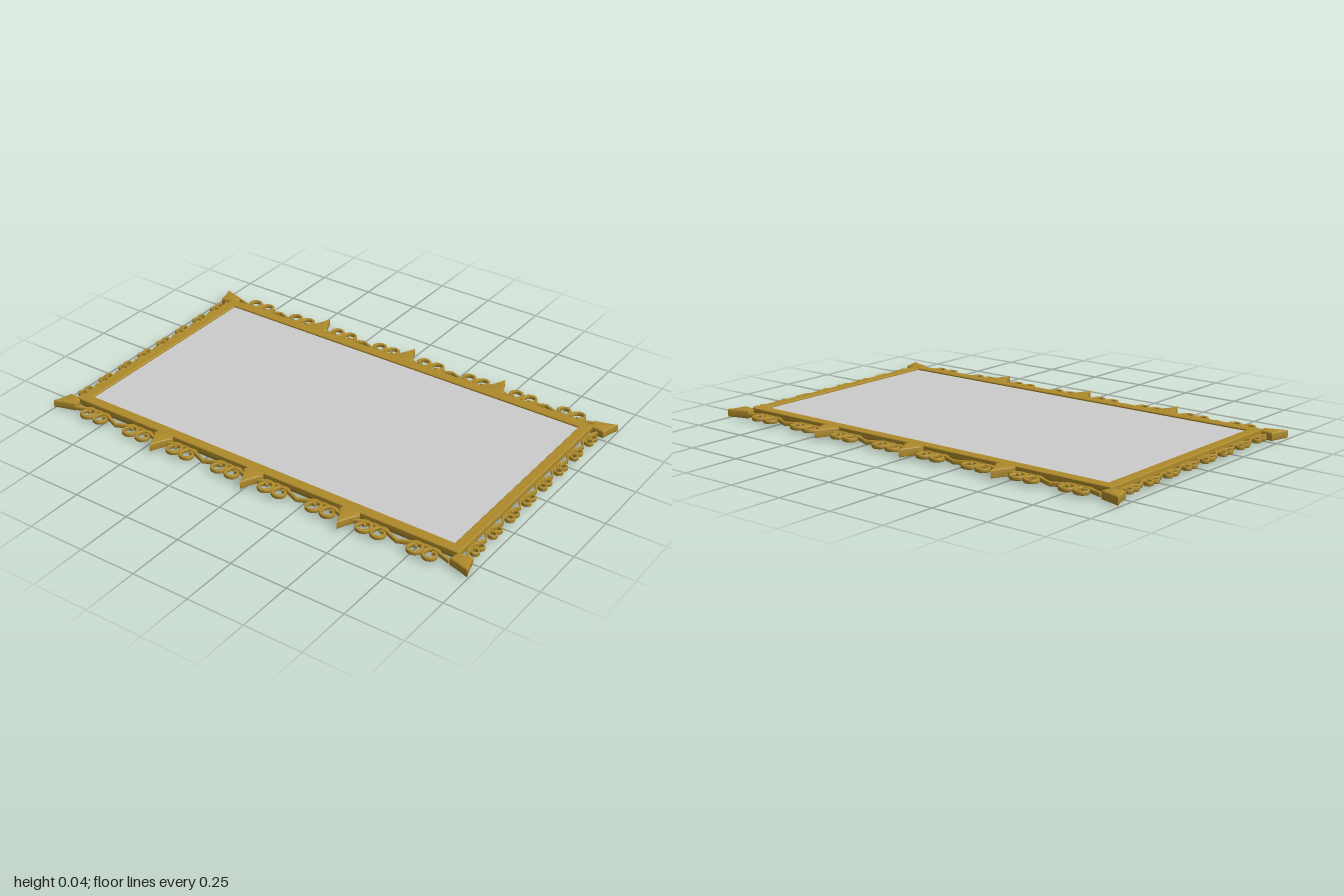
import * as THREE from 'three';
import { toCreasedNormals } from 'three/addons/utils/BufferGeometryUtils.js';

const gold = new THREE.MeshStandardMaterial({ color: 0xae8a2b });
const grey = new THREE.MeshStandardMaterial({ color: 0xcccccc });
const V2 = (x, y) => new THREE.Vector2(x, y);

// Mesh from a flat plan shape (shape y becomes +z), filling heights y0 to y1
function slab(name, shape, y0, y1, bevel) {
  let g = new THREE.ExtrudeGeometry(shape, {
    depth: y1 - y0 - 2 * bevel, curveSegments: 8, bevelEnabled: true,
    bevelThickness: bevel, bevelSize: bevel, bevelOffset: -bevel, bevelSegments: 3,
  });
  g.rotateX(Math.PI / 2).translate(0, y1 - bevel, 0);
  g = toCreasedNormals(g, 0.7);
  const mesh = new THREE.Mesh(g, gold);
  mesh.name = name;
  return mesh;
}

// Plan outline of a strip following points, tapering from w0 to w1 (half widths)
function strip(points, w0, w1) {
  const left = [], right = [], n = points.length - 1;
  points.forEach((p, i) => {
    const d = points[Math.min(i + 1, n)].clone().sub(points[Math.max(i - 1, 0)]).normalize();
    const w = w0 + (w1 - w0) * i / n;
    left.push(V2(p.x - d.y * w, p.y + d.x * w));
    right.unshift(V2(p.x + d.y * w, p.y - d.x * w));
  });
  return new THREE.Shape([...left, ...right]);
}

// One bay of trim: a chevron ribbon and two pairs of back-to-back scrolls
function trimBay(sx, sz, w) {
  const bay = new THREE.Group();
  bay.name = 'trimBay';
  const wave = [[-0.225, 0.034], [-0.16, 0.012], [-0.11, 0.006], [-0.06, 0.014], [0, 0.04],
    [0.06, 0.014], [0.11, 0.006], [0.16, 0.012], [0.225, 0.034]]
    .map(([x, z]) => V2(x * sx, z * sz));
  bay.add(slab('chevronRibbon', strip(wave, w, w), 0.013, 0.031, w * 0.6));
  for (const centre of [-0.113, 0.113]) for (const side of [-1, 1]) {
    const points = [];
    for (let i = 0; i <= 24; i++) {
      const t = i / 24, a = -2.3 + t * 7.4, r = 0.034 - 0.022 * t * t;
      const x = centre + side * (0.037 - r * Math.cos(a));
      points.push(V2(x * sx, (0.04 + r * Math.sin(a)) * sz));
    }
    bay.add(slab('scroll', strip(points, w * 1.1, w * 0.8), 0.014, 0.031, w * 0.6));
  }
  return bay;
}

// A row of bays along one edge, facing local +z
function trimRow(name, angle, distance, pitch, sx, sz, w) {
  const row = new THREE.Group();
  row.name = name;
  for (let i = 0; i < 4; i++) {
    const bay = trimBay(sx, sz, w);
    bay.position.set((i - 1.5) * pitch, 0, distance);
    row.add(bay);
  }
  row.rotation.y = angle;
  return row;
}

// Mitred rectangular moulding swept from a profile of [x half, z half, y] rings
function moulding() {
  const profile = [[0.879, 0.476, 0], [0.879, 0.476, 0.041], [0.882, 0.479, 0.044],
    [0.919, 0.519, 0.044], [0.922, 0.522, 0.041], [0.922, 0.522, 0.024],
    [0.916, 0.516, 0.012], [0.907, 0.507, 0]];
  const corners = [[1, 1], [1, -1], [-1, -1], [-1, 1]];
  const pos = [];
  profile.forEach((a, i) => {
    const b = profile[(i + 1) % profile.length];
    corners.forEach((c, k) => {
      const d = corners[(k + 1) % 4];
      const P = (p, q) => [p[0] * q[0], p[2], p[1] * q[1]];
      pos.push(...P(a, c), ...P(b, d), ...P(a, d), ...P(a, c), ...P(b, c), ...P(b, d));
    });
  });
  const g = new THREE.BufferGeometry();
  g.setAttribute('position', new THREE.Float32BufferAttribute(pos, 3));
  g.computeVertexNormals();
  const mesh = new THREE.Mesh(g, gold);
  mesh.name = 'frameMoulding';
  return mesh;
}

// Pointed finial, tip towards +z
function finialShape() {
  const s = new THREE.Shape();
  s.moveTo(-0.036, -0.008);
  s.lineTo(0.036, -0.008);
  s.lineTo(0.045, 0.015);
  s.quadraticCurveTo(0.02, 0.045, 0, 0.099);
  s.quadraticCurveTo(-0.02, 0.045, -0.045, 0.015);
  return s;
}

// Corner leaf for the +x +z corner
function cornerShape() {
  const s = new THREE.Shape();
  s.moveTo(0.915, 0.515);
  s.lineTo(0.975, 0.505);
  s.quadraticCurveTo(0.982, 0.545, 1, 0.588);
  s.quadraticCurveTo(0.955, 0.57, 0.908, 0.56);
  return s;
}

export function createModel() {
  const model = new THREE.Group();
  model.name = 'ornateFrame';

  // Thin panel, recessed from below
  const panel = new THREE.Mesh(new THREE.BoxGeometry(1.765, 0.006, 0.96), grey);
  panel.name = 'panel';
  panel.position.y = 0.033;
  model.add(panel, moulding());

  // Scrollwork on the four edges
  model.add(trimRow('frontTrim', 0, 0.526, 0.455, 1, 1, 0.0065));
  model.add(trimRow('backTrim', Math.PI, 0.526, 0.455, 1, 1, 0.0065));
  model.add(trimRow('leftTrim', Math.PI / 2, 0.925, 0.252, 0.56, 0.66, 0.0045));
  model.add(trimRow('rightTrim', -Math.PI / 2, 0.925, 0.252, 0.56, 0.66, 0.0045));

  // Three finials on each long edge
  for (const side of [1, -1]) for (const x of [-0.453, 0, 0.453]) {
    const finial = slab('finial', finialShape(), 0.01, 0.043, 0.003);
    finial.position.set(x, 0, side * 0.523);
    finial.rotation.y = side > 0 ? 0 : Math.PI;
    model.add(finial);
  }

  // Corner leaves, mirrored in plan
  for (const sx of [1, -1]) for (const sz of [1, -1]) {
    const points = cornerShape().getPoints(8).map((p) => V2(p.x * sx, p.y * sz));
    model.add(slab('cornerLeaf', new THREE.Shape(points), 0.004, 0.039, 0.005));
  }
  return model;
}
